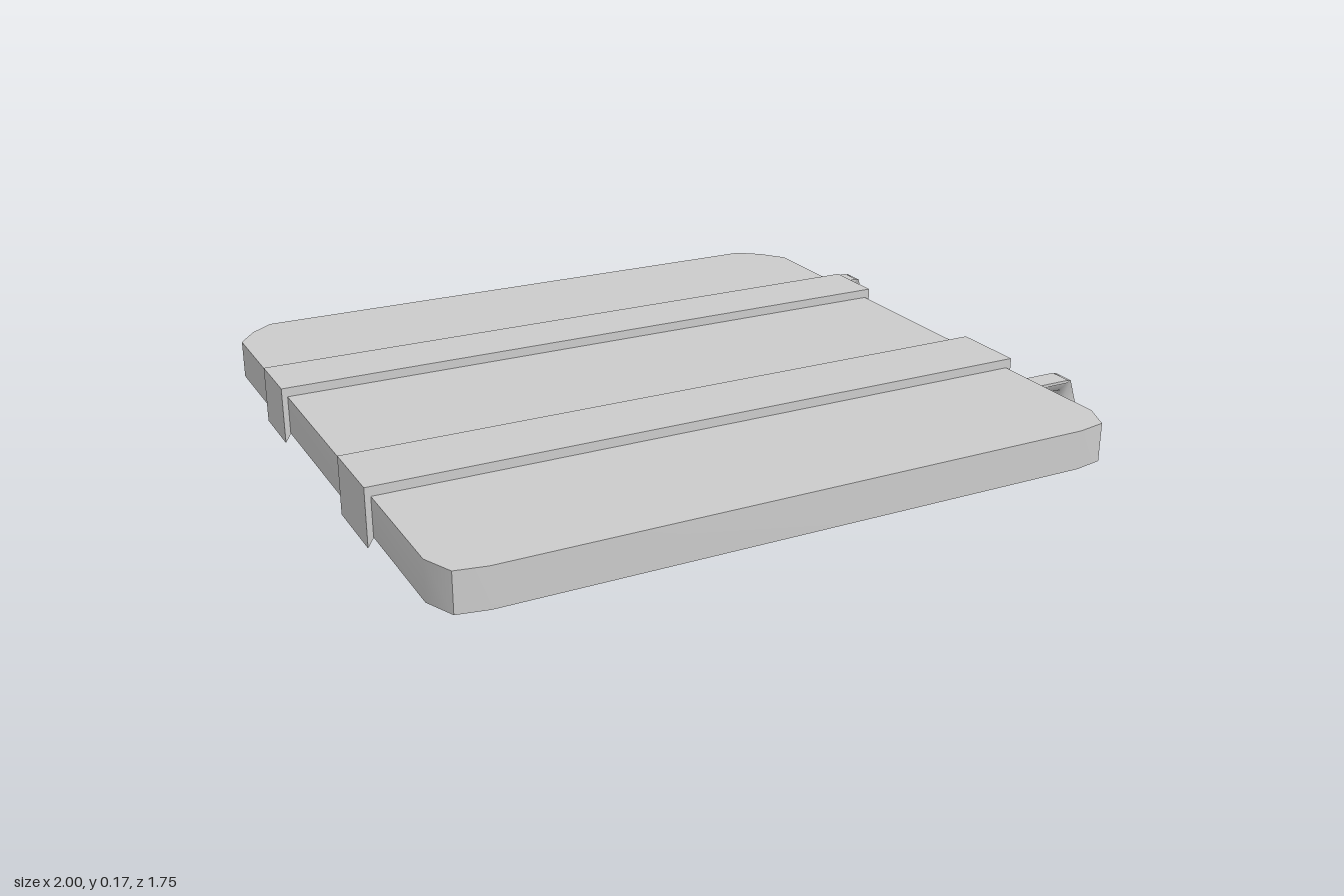
import * as THREE from 'three';
import { toCreasedNormals } from 'three/addons/utils/BufferGeometryUtils.js';

const grey = new THREE.MeshStandardMaterial({ color: 0xcccccc });

function part(name, geometry, parent) {
  const mesh = new THREE.Mesh(geometry, grey);
  mesh.name = name;
  parent.add(mesh);
  return mesh;
}

function extrude(points, depth) {
  const shape = new THREE.Shape(points.map(([x, y]) => new THREE.Vector2(x, y)));
  return new THREE.ExtrudeGeometry(shape, { depth, bevelEnabled: false });
}

export function createModel() {
  const model = new THREE.Group();
  model.name = 'strappedBoard';

  // Flat board with clipped corners: right half of the outline, then mirrored
  const midX = -0.0725;
  const half = [
    [0.798, -0.87], [0.878, -0.855], [0.9125, -0.775],
    [0.9125, 0.76], [0.862, 0.83], [0.798, 0.88],
  ];
  const mirrored = half.map(([x, y]) => [-x, y]).reverse();
  const outline = [...half, ...mirrored].map(([x, y]) => [x + midX, y]);
  const boardGeo = extrude(outline, 0.105).rotateX(-Math.PI / 2);
  part('board', toCreasedNormals(boardGeo, 0.6), model).position.y = 0.04;

  // Straps across the top, with tapered flaps folded over both sides
  const strapProfile = [
    [-1, 0.015], [-0.984, 0.04], [-0.984, 0.144], [0.839, 0.144],
    [0.839, 0.04], [0.855, 0.015], [0.855, 0.17], [-1, 0.17],
  ];
  for (const [name, z0, z1] of [['backStrap', -0.455, -0.278], ['frontStrap', 0.217, 0.422]]) {
    part(name, extrude(strapProfile, z1 - z0), model).position.z = z0;
  }

  // Five-sided rings, each held by a thin tab on the left edge
  const section = [
    [0.068, -0.032], [0.068, 0.032], [0.031, 0.016], [0.031, -0.016], [0.068, -0.032],
  ].map(([r, h]) => new THREE.Vector2(r, h));
  for (const [name, x, z] of [['backHinge', 0.925, -0.532], ['frontHinge', 0.935, 0.504]]) {
    const hinge = new THREE.Group();
    hinge.name = name;
    hinge.position.set(x, 0.068, z);
    const ringGeo = new THREE.LatheGeometry(section, 5).rotateX(Math.PI / 2);
    part('ring', toCreasedNormals(ringGeo, 1.3), hinge);
    const tab = part('tab', new THREE.BoxGeometry(0.13, 0.008, 0.064), hinge);
    tab.position.set(-0.035, 0.053, 0);
    model.add(hinge);
  }
  return model;
}
